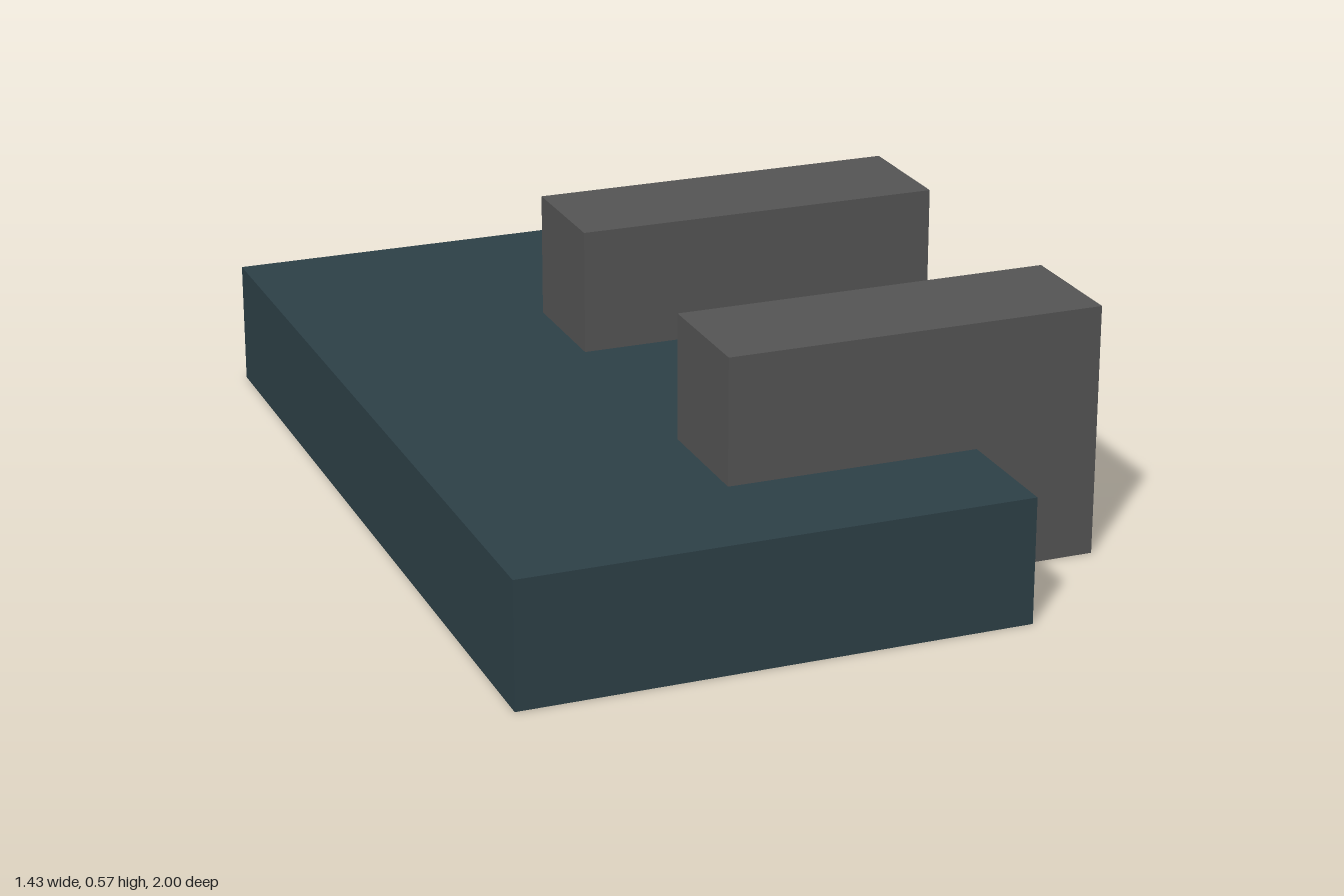
import * as THREE from 'three';

const U = 1 / 7; // layout module: every size is a whole number of these

export function createModel() {
  const group = new THREE.Group();
  const slate = new THREE.MeshStandardMaterial({ color: 0x2d4047 });
  slate.name = 'dark slate';
  const grey = new THREE.MeshStandardMaterial({ color: 0x545454 });
  grey.name = 'dark grey';

  // Flat base slab
  const slab = new THREE.Mesh(new THREE.BoxGeometry(8 * U, 2 * U, 14 * U), slate);
  slab.name = 'baseSlab';
  slab.position.set(-U, U, 0);
  group.add(slab);

  // L-shaped profile that sits on the slab and hooks down over its side
  const profile = new THREE.Shape([
    [-1, 2], [3, 2], [3, 0], [5, 0], [5, 4], [-1, 4],
  ].map(([x, y]) => new THREE.Vector2(x * U, y * U)));
  const hookGeometry = new THREE.ExtrudeGeometry(profile, { depth: 2 * U, bevelEnabled: false });

  // Two overhanging blocks
  [['frontBlock', 3], ['rearBlock', -3]].forEach(([name, z]) => {
    const block = new THREE.Mesh(hookGeometry, grey);
    block.name = name;
    block.position.z = z * U;
    group.add(block);
  });

  return group;
}
